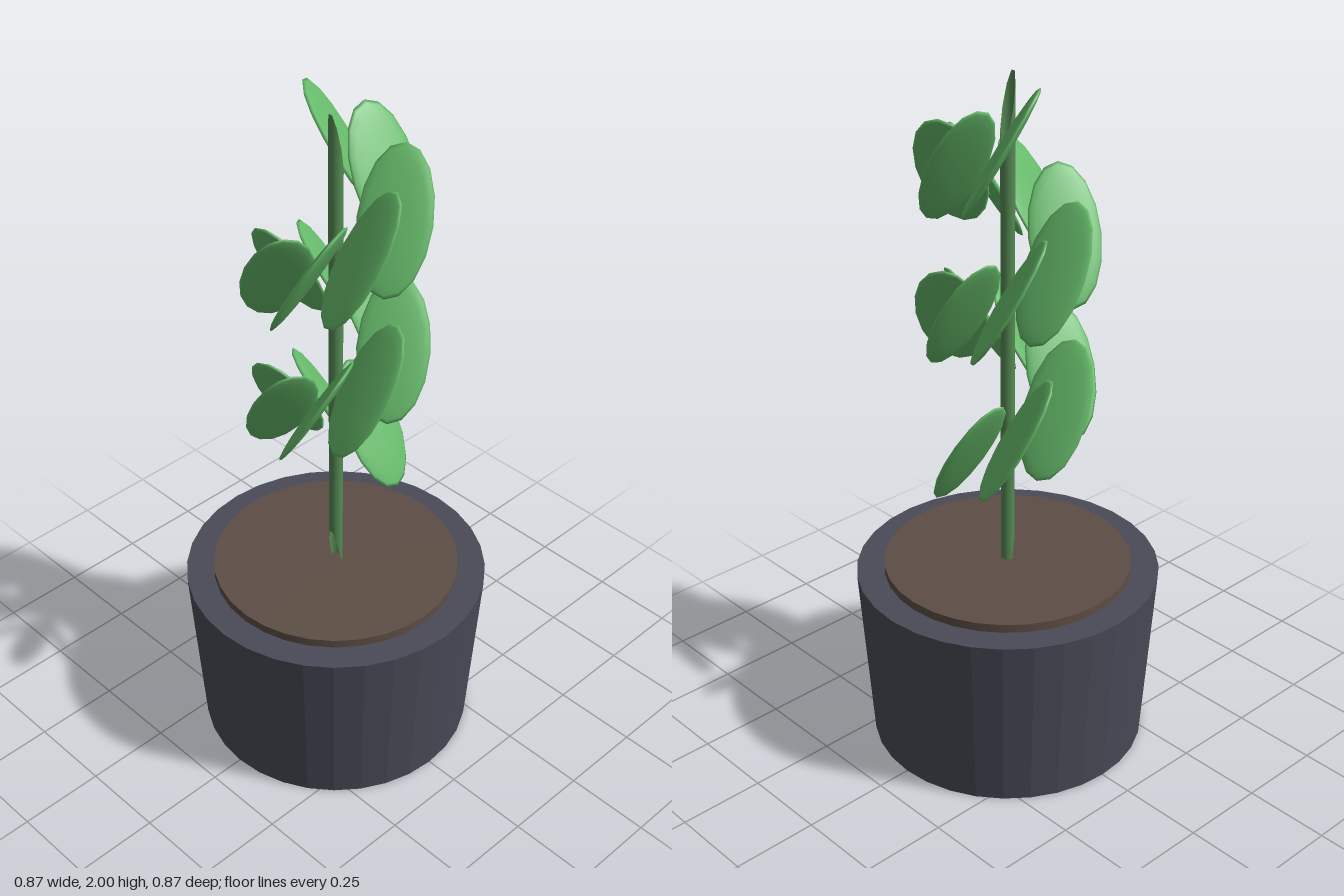
import * as THREE from 'three';

function material(color, options = {}) {
  return new THREE.MeshStandardMaterial({ color, ...options });
}

function addMesh(parent, name, geometry, mat) {
  const mesh = new THREE.Mesh(geometry, mat);
  mesh.name = name;
  parent.add(mesh);
  return mesh;
}

export function createModel() {
  const plant = new THREE.Group();
  plant.name = 'pottedPlant';

  // Tapered pot with a flat rim
  const potHeight = 0.535;
  addMesh(plant, 'pot', new THREE.CylinderGeometry(0.437, 0.4, potHeight, 32),
    material(0x4a4a58, { flatShading: true })).position.y = potHeight / 2;

  // Soil disc standing slightly above the rim
  addMesh(plant, 'soil', new THREE.CylinderGeometry(0.357, 0.357, 0.06, 32),
    material(0x5d4e45)).position.y = 0.53;

  // Thin hollow stem, both ends cut at a steep slant
  const stemRadius = 0.02, slant = 5;
  const stem = new THREE.CylinderGeometry(stemRadius, stemRadius, 1.33, 10, 1, true);
  stem.computeVertexNormals;
  const p = stem.attributes.position;
  for (let i = 0; i < p.count; i++) p.setY(i, p.getY(i) - slant * p.getX(i));
  addMesh(plant, 'stem', stem, material(0x558b55, { side: THREE.DoubleSide })).position.y = 1.235;

  // Leaf: flattened ellipsoid, thin along z, leaning back 30 degrees
  const leafGeometry = new THREE.SphereGeometry(1, 16, 10)
    .rotateX(Math.PI / 2)
    .scale(0.1, 0.2, 0.015)
    .rotateX(-Math.PI / 6)
    .translate(0.155, 0, 0);
  const leafMaterial = material(0x66bb6a);

  // Leaves climb the stem in a spiral
  const leaves = new THREE.Group();
  leaves.name = 'leaves';
  plant.add(leaves);
  for (let i = 0; i < 16; i++) {
    const leaf = addMesh(leaves, `leaf${i + 1}`, leafGeometry, leafMaterial);
    leaf.position.y = 0.96 + i * 0.058;
    leaf.rotation.y = 0.07 + i * 0.88;
  }

  return plant;
}
